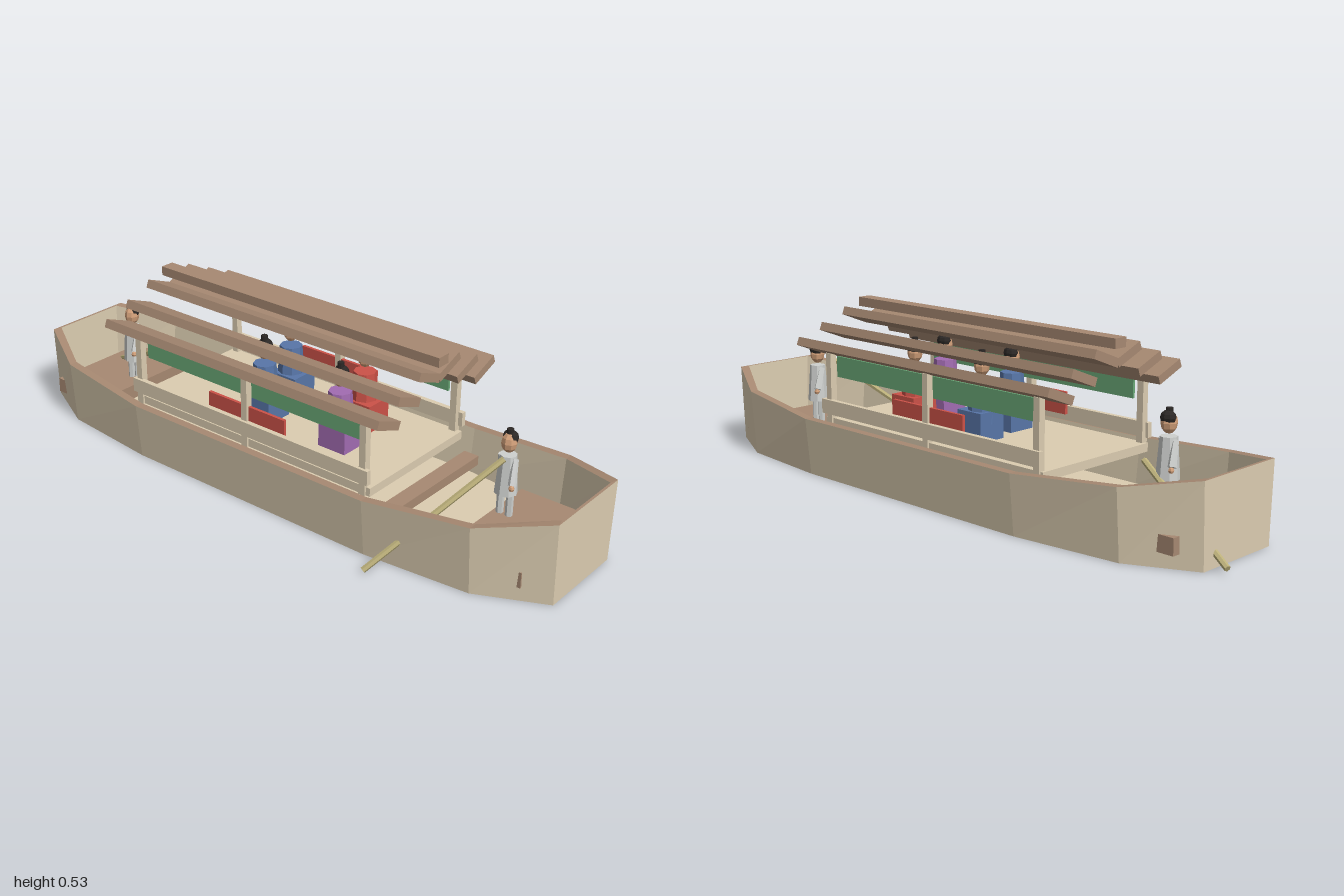
import * as THREE from 'three';

const mat = (name, color) => {
  const m = new THREE.MeshStandardMaterial({ color, flatShading: true });
  m.name = name;
  return m;
};

export function createModel() {
  const tan = mat('pale wood', 0xdccdb1), brown = mat('brown wood', 0xa78972);
  const oarWood = mat('oar wood', 0xbeb27c), green = mat('green cloth', 0x6aa877);
  const red = mat('red cloth', 0xcc5248), purple = mat('purple cloth', 0xa26cb2);
  const blue = mat('blue cloth', 0x5876a8), grey = mat('grey cloth', 0xced0ce);
  const skin = mat('skin', 0xd2a07a), hair = mat('hair', 0x2c2826);

  const model = new THREE.Group();
  const CZ = -0.0315; // centre line of the boat

  const add = (parent, name, geo, material, x = 0, y = 0, z = 0) => {
    const m = new THREE.Mesh(geo, material);
    m.name = name;
    m.position.set(x, y, z);
    parent.add(m);
    return m;
  };
  // box given by its limits
  const slab = (name, material, x0, x1, y0, y1, z0, z1, parent = model) =>
    add(parent, name, new THREE.BoxGeometry(x1 - x0, y1 - y0, z1 - z0), material,
      (x0 + x1) / 2, (y0 + y1) / 2, (z0 + z1) / 2);
  // round bar between two points
  const bar = (name, material, a, b, r, parent = model, r2 = r) => {
    const A = new THREE.Vector3(...a), B = new THREE.Vector3(...b);
    const m = add(parent, name, new THREE.CylinderGeometry(r2, r, A.distanceTo(B), 6), material);
    m.position.copy(A).lerp(B, 0.5);
    m.quaternion.setFromUnitVectors(new THREE.Vector3(0, 1, 0), B.sub(A).normalize());
    return m;
  };

  // Hull: stations of [x, half width, top height]
  const stations = [[-0.945, 0.153, 0.24], [-0.75, 0.255, 0.205], [-0.41, 0.291, 0.18],
    [0.47, 0.291, 0.18], [0.8, 0.257, 0.21], [1.0, 0.153, 0.25]];
  const loop = (scale, inset, endInset, y) => {
    const side = s => stations.map(([x, h, top], i) => [
      x + (i === 0 ? endInset : i === 5 ? -endInset : 0),
      y === null ? top : y,
      CZ + s * (h * scale - inset)]);
    return [...side(1), ...side(-1).reverse()];
  };
  const surface = tris => {
    const g = new THREE.BufferGeometry();
    g.setAttribute('position', new THREE.Float32BufferAttribute(tris.flat(2), 3));
    g.computeVertexNormals();
    return g;
  };
  const band = (a, b) => a.flatMap((p, i) => {
    const j = (i + 1) % a.length;
    return [[p, a[j], b[j]], [p, b[j], b[i]]];
  });
  const fan = a => a.slice(2).map((p, i) => [a[0], a[i + 1], p]);
  const outBottom = loop(0.94, 0, 0, 0), outTop = loop(1, 0, 0, null);
  const inTop = loop(1, 0.027, 0.008, null), inBottom = loop(0.945, 0.027, 0.012, 0.042);
  add(model, 'hull', surface([...band(outBottom, outTop), ...band(inTop, inBottom),
    ...fan(inBottom), ...fan([...outBottom].reverse())]), tan);
  add(model, 'gunwale', surface(band(outTop, inTop)), brown);

  // Bow and stern platforms, thwart
  slab('sternPlatform', brown, -0.89, -0.66, 0.042, 0.09, -0.23, 0.16);
  slab('bowPlatform', brown, 0.69, 0.923, 0.042, 0.09, -0.217, 0.157);
  slab('thwart', brown, 0.455, 0.505, 0.08, 0.11, -0.27, 0.207);

  // Cabin deck, rails, posts and hangings
  slab('cabinDeck', tan, -0.47, 0.45, 0.155, 0.181, CZ - 0.224, CZ + 0.224);
  for (const s of [1, -1]) {
    const z = d => CZ + s * d;
    const strip = (name, m, x0, x1, y0, y1, a, b) =>
      slab(name, m, x0, x1, y0, y1, Math.min(z(a), z(b)), Math.max(z(a), z(b)));
    strip('sideRail', tan, -0.47, 0.45, 0.195, 0.24, 0.223, 0.239);
    strip('redPanel', red, -0.16, 0.135, 0.215, 0.285, 0.212, 0.222);
    strip('greenValance', green, -0.43, 0.41, 0.31, 0.375, 0.2, 0.208);
    for (const x of [-0.45, -0.0125, 0.425])
      strip('post', tan, x - 0.011, x + 0.011, 0.155, 0.385, 0.208, 0.23);
    // Roof boards tilt up towards their outer edges
    for (const [d, y] of [[0.047, 0.475], [0.139, 0.436], [0.23, 0.4]]) {
      const board = add(model, 'roofBoard', new THREE.BoxGeometry(1.05, 0.026, 0.104), brown, -0.013, y, z(d));
      board.rotation.x = -s * 0.37;
    }
  }
  slab('ridgeBeam', brown, -0.545, 0.522, 0.499, 0.528, CZ - 0.0225, CZ + 0.0225);

  // Head with hair and topknot
  const head = (parent, y, knotY) => {
    const ball = (name, m, r, sx, sy, sz, py, pz) =>
      add(parent, name, new THREE.SphereGeometry(r, 8, 6), m, 0, py, pz).scale.set(sx, sy, sz);
    ball('head', skin, 0.031, 0.75, 1, 0.78, y, 0);
    ball('hair', hair, 0.026, 0.94, 0.8, 0.75, y + 0.014, -0.005);
    add(parent, 'topknot', new THREE.CylinderGeometry(0.01, 0.01, 0.02, 8), hair, 0, knotY, 0);
  };

  // Seated passengers
  for (const [x, z, m] of [[0.222, 0.042, purple], [0.195, -0.109, red], [-0.068, 0.042, blue], [-0.093, -0.109, blue]]) {
    const p = new THREE.Group();
    p.name = 'passenger';
    p.position.set(x, 0.181, z);
    add(p, 'robe', new THREE.CylinderGeometry(0.035, 0.044, 0.124, 8), m, 0, 0.112, 0);
    slab('foldedLegs', m, -0.042, 0.055, 0, 0.087, -0.047, 0.047, p);
    head(p, 0.218, 0.254);
    model.add(p);
  }

  // Standing rowers
  for (const [x, z] of [[0.725, -0.069], [-0.7, -0.012]]) {
    const p = new THREE.Group();
    p.name = 'rower';
    p.position.set(x, 0.09, z);
    add(p, 'robe', new THREE.CylinderGeometry(0.025, 0.034, 0.12, 8), grey, 0, 0.13, 0);
    for (const s of [1, -1]) {
      bar('leg', grey, [s * 0.015, 0, 0], [s * 0.015, 0.09, 0], 0.011, p);
      bar('arm', grey, [s * 0.036, 0.115, s * 0.03], [s * 0.023, 0.182, 0], 0.012, p, 0.009);
      add(p, 'hand', new THREE.SphereGeometry(0.009, 6, 4), skin, s * 0.037, 0.108, s * 0.034);
    }
    head(p, 0.227, 0.258);
    model.add(p);
  }

  // Oars
  bar('bowOar', oarWood, [0.525, 0.008, 0.315], [0.75, 0.3, -0.005], 0.009);
  bar('sternOar', oarWood, [-0.995, 0.015, -0.145], [-0.625, 0.2, -0.02], 0.009);

  return model;
}
